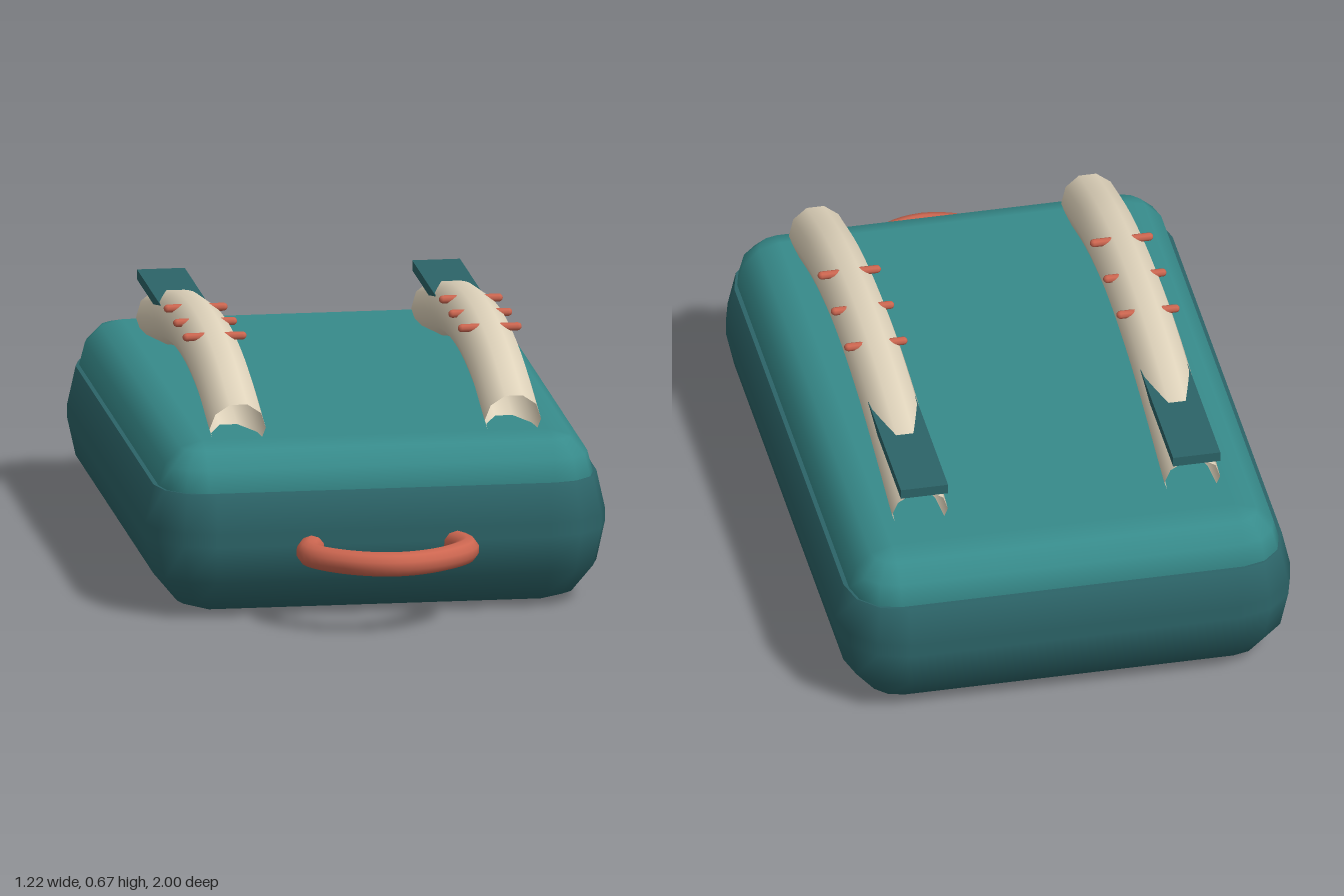
import * as THREE from 'three';

const mat = (color, side = THREE.FrontSide) => new THREE.MeshStandardMaterial({ color, side });
const rad = THREE.MathUtils.degToRad;

// Rounded cushion from stacked rounded-rectangle loops, listed bottom to top.
// Each ring: [corner radius, height, slope angle of the normal]
function cushionGeometry(coreX, coreZ, centerZ, rings) {
  const pos = [], nor = [], idx = [], perRing = 16;
  for (const [r, y, slope] of rings) {
    const c = Math.cos(rad(slope)), s = Math.sin(rad(slope));
    for (let corner = 0; corner < 4; corner++) {
      const sx = corner === 0 || corner === 3 ? 1 : -1, sz = corner < 2 ? 1 : -1;
      for (let k = 0; k <= 3; k++) {
        const a = rad(corner * 90 + k * 30), ca = Math.cos(a), sa = Math.sin(a);
        pos.push(sx * coreX + r * ca, y, centerZ + sz * coreZ + r * sa);
        nor.push(c * ca, s, c * sa);
      }
    }
  }
  for (let j = 0; j < rings.length - 1; j++) {
    for (let i = 0; i < perRing; i++) {
      const a = j * perRing + i, b = j * perRing + (i + 1) % perRing;
      idx.push(a, a + perRing, b, b, a + perRing, b + perRing);
    }
  }
  // Flat caps
  const t = (rings.length - 1) * perRing;
  idx.push(0, 4, 8, 0, 8, 12, t, t + 8, t + 4, t, t + 12, t + 8);
  const geo = new THREE.BufferGeometry();
  geo.setAttribute('position', new THREE.Float32BufferAttribute(pos, 3));
  geo.setAttribute('normal', new THREE.Float32BufferAttribute(nor, 3));
  geo.setIndex(idx);
  return geo;
}

// Quarter-round profile rings about height y0
const arc = (r, ry, y0, angles) =>
  angles.map((a) => [r * Math.cos(rad(a)), y0 + ry * Math.sin(rad(a)), a]);

export function createModel() {
  const group = new THREE.Group();
  const teal = mat(0x2c6468), lightTeal = mat(0x378b8b);
  const coral = mat(0xcc6650), cream = mat(0xe0d4bc, THREE.DoubleSide);
  const add = (parent, name, geo, material, x = 0, y = 0, z = 0) => {
    const mesh = new THREE.Mesh(geo, material);
    mesh.name = name;
    mesh.position.set(x, y, z);
    parent.add(mesh);
    return mesh;
  };

  // Main body, ending in a flat ledge under the back panel
  const bodyRings = [
    ...arc(0.17, 0.205, 0.205, [-90, -60, -30, 0]),
    ...arc(0.17, 0.205, 0.24, [0, 30]),
    [0.147, 0.3425, 90], [0, 0.3425, 90],
  ];
  add(group, 'body', cushionGeometry(0.442, 0.7, -0.13, bodyRings), teal);

  // Lighter padded back panel
  add(group, 'backPanel',
    cushionGeometry(0.46, 0.717, -0.13, arc(0.118, 0.12, 0.341, [0, 30, 60, 90])), lightTeal);

  // Carry loop
  const loop = new THREE.CatmullRomCurve3(
    [[-0.16, 0.65], [-0.208, 0.82], [-0.12, 0.925], [0, 0.965], [0.12, 0.925], [0.208, 0.82], [0.16, 0.65]]
      .map(([x, z]) => new THREE.Vector3(x, 0.197, z)));
  add(group, 'carryLoop', new THREE.TubeGeometry(loop, 36, 0.033, 10), coral);

  // Shoulder straps: hollow bowed tubes with a flat tail and three cross pins
  const strapPath = new THREE.CatmullRomCurve3(
    [[0.487, 0.577], [0.56, 0.31], [0.594, 0], [0.575, -0.32], [0.487, -0.747]]
      .map(([y, z]) => new THREE.Vector3(0, y, z)));
  const strapGeo = new THREE.TubeGeometry(strapPath, 32, 0.075, 10);
  const tailGeo = new THREE.BoxGeometry(0.127, 0.027, 0.42);
  const pinGeo = new THREE.CapsuleGeometry(0.011, 0.148, 4, 8).rotateZ(Math.PI / 2);
  for (const side of [-1, 1]) {
    const strap = new THREE.Group();
    strap.name = side > 0 ? 'leftStrap' : 'rightStrap';
    strap.position.x = side * 0.366;
    add(strap, 'strapPad', strapGeo, cream);
    add(strap, 'strapTail', tailGeo, teal, 0, 0.59, -0.595);
    for (const z of [0.16, -0.01, -0.18]) add(strap, 'strapPin', pinGeo, coral, 0, 0.641, z);
    group.add(strap);
  }
  return group;
}
